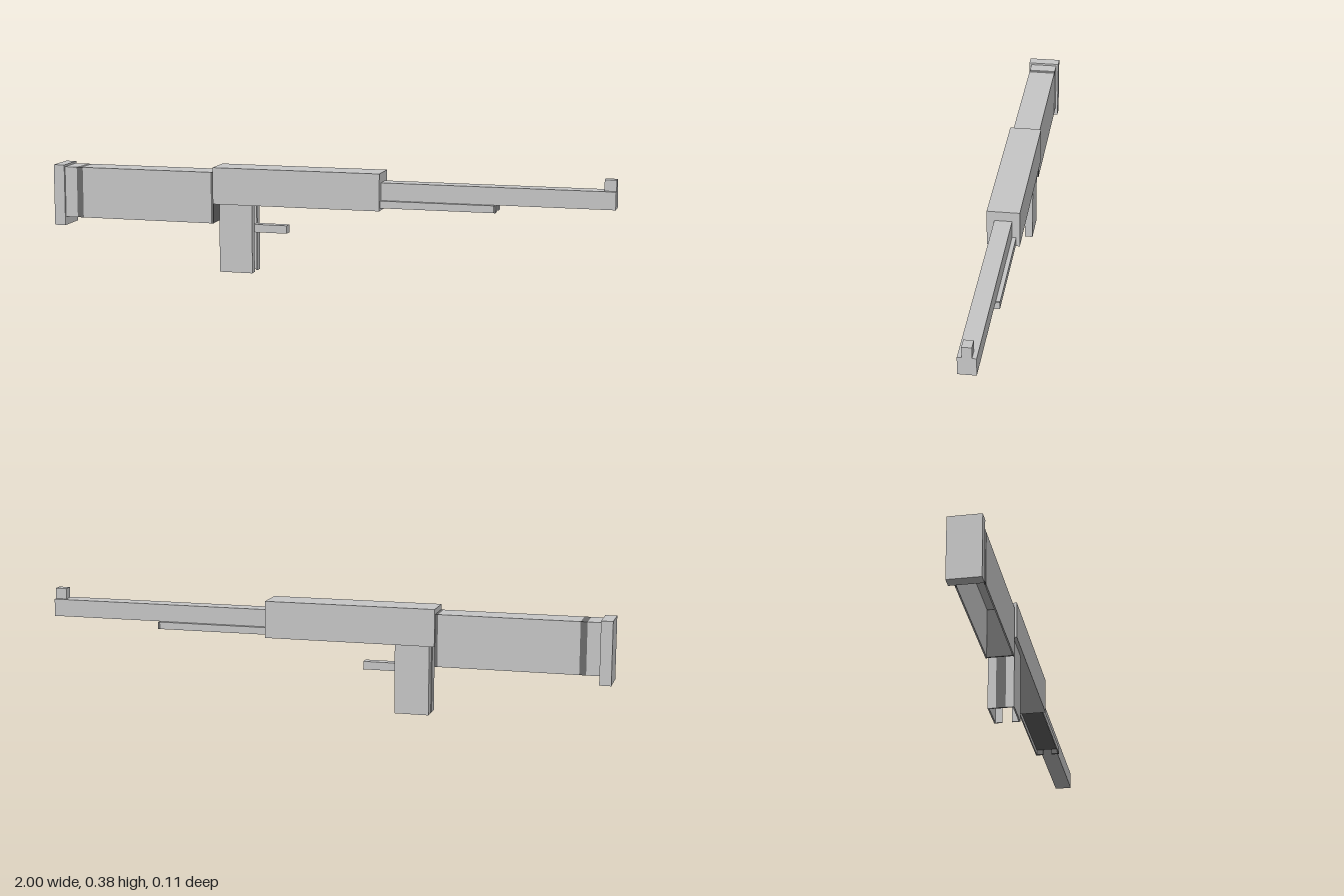
import * as THREE from 'three';

export function createModel() {
  const model = new THREE.Group();
  model.name = 'longRifle';
  const light = new THREE.MeshStandardMaterial({ color: 0xc8c8c8 });
  light.name = 'light grey';
  const dark = new THREE.MeshStandardMaterial({ color: 0x6c6c6c });
  dark.name = 'dark grey';

  // Box given by its extents along each axis
  function box(name, mat, [x0, x1], [y0, y1], [z0, z1]) {
    const mesh = new THREE.Mesh(new THREE.BoxGeometry(x1 - x0, y1 - y0, z1 - z0), mat);
    mesh.position.set((x0 + x1) / 2, (y0 + y1) / 2, (z0 + z1) / 2);
    mesh.name = name;
    model.add(mesh);
  }
  // The same box on both sides of the centre plane
  function pair(name, mat, x, y, [z0, z1]) {
    box(name + 'Left', mat, x, y, [z0, z1]);
    box(name + 'Right', mat, x, y, [-z1, -z0]);
  }

  // Receiver, barrel and front sight
  box('receiver', light, [-0.4, 0.2], [0.242, 0.371], [-0.056, 0.056]);
  box('barrel', light, [0.2, 1], [0.276, 0.337], [-0.03, 0.03]);
  box('frontSight', light, [0.96, 1], [0.337, 0.375], [-0.016, 0.016]);

  // Fore-end: shallow tray, open below, notched at the tip
  box('foreEndTop', light, [0.2, 0.592], [0.272, 0.276], [-0.044, 0.044]);
  box('foreEndCeiling', dark, [0.2, 0.592], [0.269, 0.272], [-0.04, 0.04]);
  box('foreEndRear', dark, [0.2, 0.203], [0.251, 0.272], [-0.04, 0.04]);
  pair('foreEndSide', light, [0.2, 0.592], [0.251, 0.272], [0.04, 0.044]);
  pair('foreEndTip', dark, [0.592, 0.598], [0.251, 0.276], [0.016, 0.044]);
  pair('foreEndCap', light, [0.598, 0.6], [0.251, 0.276], [0.016, 0.044]);

  // Stock: hollow shell open below, in sections along its length
  const sections = [
    ['stockRear', light, [-0.96, -0.915]],
    ['stockBand', dark, [-0.915, -0.892]],
    ['stockBody', light, [-0.892, -0.41]],
    ['stockCollar', dark, [-0.41, -0.4]],
  ];
  for (const [name, mat, x] of sections) {
    box(name + 'Top', mat, x, [0.348, 0.353], [-0.048, 0.048]);
    pair(name + 'Side', mat, x, [0.172, 0.348], [0.043, 0.048]);
  }
  box('stockFront', dark, [-0.408, -0.403], [0.172, 0.348], [-0.043, 0.043]);
  box('buttPlate', light, [-1, -0.96], [0.142, 0.36], [-0.056, 0.056]);

  // Grip: hollow shell with a front slot and a dark back strip
  pair('gripSide', light, [-0.38, -0.26], [0, 0.242], [0.039, 0.044]);
  pair('gripFront', light, [-0.265, -0.26], [0, 0.242], [0.016, 0.039]);
  pair('gripBack', light, [-0.38, -0.375], [0, 0.242], [0.016, 0.039]);
  box('gripBackStrip', dark, [-0.38, -0.375], [0, 0.242], [-0.016, 0.016]);

  // Trigger bar
  box('trigger', light, [-0.265, -0.142], [0.142, 0.17], [-0.016, 0.016]);

  return model;
}
